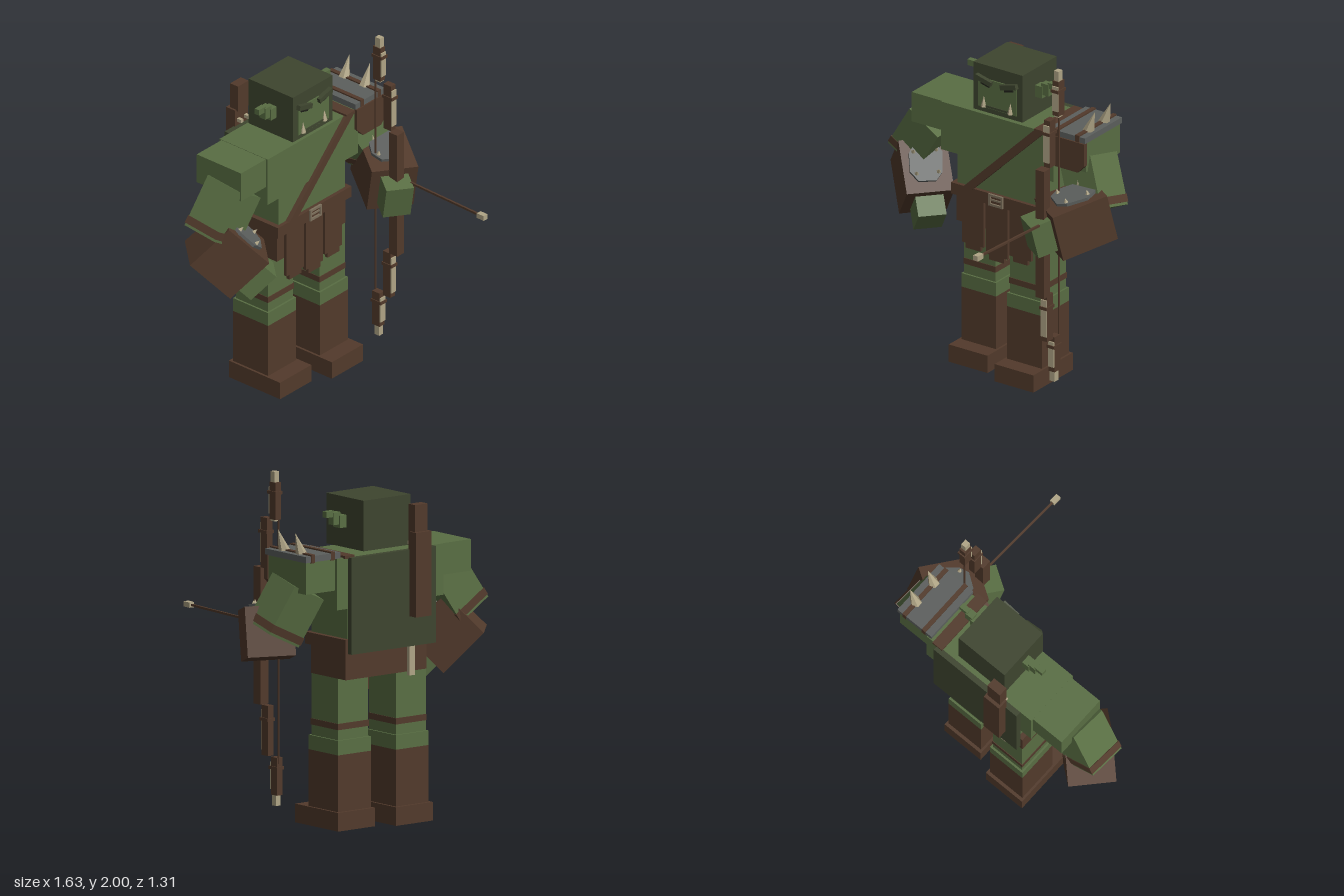
import * as THREE from 'three';

const mat = (name, color) => {
  const m = new THREE.MeshStandardMaterial({ color });
  m.name = name;
  return m;
};
const V = (x, y, z) => new THREE.Vector3(x, y, z);

export function createModel() {
  const green = mat('skin green', 0x596e43);
  const dark = mat('dark green', 0x3e452f);
  const brown = mat('leather brown', 0x523a2b);
  const grey = mat('iron grey', 0x5c5f5d);
  const bone = mat('bone', 0xb0a586);
  const brass = mat('dull brass', 0x7d705c);
  const black = mat('eye dark', 0x1f2019);

  const model = new THREE.Group();
  model.name = 'archer';
  const CX = 0.034; // body mirror line

  const add = (parent, name, geo, m) => {
    const mesh = new THREE.Mesh(geo, m);
    mesh.name = name;
    parent.add(mesh);
    return mesh;
  };
  // box given by its limits on each axis
  const box = (name, m, x0, x1, y0, y1, z0, z1, parent = model) => {
    const b = add(parent, name, new THREE.BoxGeometry(x1 - x0, y1 - y0, z1 - z0), m);
    b.position.set((x0 + x1) / 2, (y0 + y1) / 2, (z0 + z1) / 2);
    return b;
  };
  // group whose +z follows "dir" and whose +y is close to "up"
  const frame = (name, pos, dir, up) => {
    const g = new THREE.Group();
    g.name = name;
    const z = dir.clone().normalize();
    const x = up.clone().cross(z).normalize();
    const y = z.clone().cross(x);
    g.quaternion.setFromRotationMatrix(new THREE.Matrix4().makeBasis(x, y, z));
    g.position.copy(pos);
    model.add(g);
    return g;
  };
  // flat outline in xy, extruded along z
  const plate = (name, m, pts, z, depth, parent = model) => {
    const s = new THREE.Shape(pts.map(p => new THREE.Vector2(p[0], p[1])));
    const p = add(parent, name, new THREE.ExtrudeGeometry(s, { depth, bevelEnabled: false }), m);
    p.position.z = z;
    return p;
  };
  const spike = (name, r, h, parent, pos) => {
    const geo = new THREE.ConeGeometry(r, h, 6).toNonIndexed();
    geo.computeVertexNormals();
    const s = add(parent, name, geo, bone);
    s.position.copy(pos);
    return s;
  };

  // head and face
  box('head', dark, -0.133, 0.202, 1.57, 1.855, -0.54, -0.215);
  box('face', green, -0.095, 0.165, 1.6, 1.775, -0.216, -0.208);
  box('mouth', dark, -0.06, 0.13, 1.605, 1.617, -0.209, -0.203);
  for (const s of [-1, 1]) {
    const brow = box('brow', dark, -0.055, 0.055, -0.014, 0.014, -0.013, 0.013);
    brow.position.set(CX + s * 0.085, 1.77, -0.2);
    brow.rotation.z = s * 0.25;
    const eye = box('eye', black, -0.03, 0.03, -0.008, 0.008, -0.003, 0.003);
    eye.position.set(CX + s * 0.08, 1.743, -0.205);
    eye.rotation.z = s * 0.25;
    spike('tusk', 0.018, 0.065, model, V(CX + s * 0.09, 1.637, -0.207));
    // stepped ears
    [[0.155, 0.215, 1.685, 1.755, 0.028], [0.205, 0.255, 1.705, 1.775, 0.022], [0.245, 0.302, 1.75, 1.785, 0.016]]
      .forEach(([a, b, y0, y1, d]) => {
        const x0 = CX + (s > 0 ? a : -b);
        box('ear', green, x0, x0 + b - a, y0, y1, -0.362 - d, -0.362 + d);
      });
  }

  // torso
  box('chest', green, -0.35, 0.415, 1.265, 1.555, -0.565, -0.212);
  box('waist', green, -0.246, 0.316, 1.07, 1.27, -0.54, -0.222);
  box('belt', brown, -0.276, 0.345, 1.02, 1.088, -0.555, -0.2);
  box('hips', brown, -0.256, 0.322, 0.855, 1.025, -0.53, -0.225);

  // belt buckle
  const ring = new THREE.Shape([[-0.048, -0.035], [0.048, -0.035], [0.048, 0.035], [-0.048, 0.035]].map(p => new THREE.Vector2(...p)));
  ring.holes.push(new THREE.Path([[-0.035, -0.022], [-0.035, 0.022], [0.035, 0.022], [0.035, -0.022]].map(p => new THREE.Vector2(...p))));
  add(model, 'buckle', new THREE.ExtrudeGeometry(ring, { depth: 0.012, bevelEnabled: false }), brass).position.set(CX, 1.055, -0.201);
  box('buckle bar', brass, CX - 0.036, CX + 0.036, 1.05, 1.06, -0.201, -0.193);

  // loincloth panels
  for (const [x, y0, y1] of [[-0.127, 0.715, 1.02], [CX, 0.685, 1.02], [0.195, 0.715, 1.02]]) {
    plate('loincloth panel', brown, [[x - 0.073, y1], [x - 0.073, y0 + 0.03], [x - 0.05, y0 + 0.03], [x - 0.05, y0],
      [x + 0.05, y0], [x + 0.05, y0 + 0.03], [x + 0.073, y0 + 0.03], [x + 0.073, y1]], -0.222, 0.02);
  }

  // chest strap
  plate('chest strap', brown, [[-0.19, 1.085], [-0.125, 1.085], [0.365, 1.557], [0.295, 1.557]], -0.222, 0.03);
  box('shoulder strap', brown, 0.295, 0.365, 1.55, 1.567, -0.575, -0.192);

  // back gear
  box('back board', dark, -0.27, 0.335, 1.01, 1.555, -0.598, -0.565);
  box('sheath', brown, -0.192, -0.08, 1.18, 1.657, -0.655, -0.59);
  box('sheath top', brown, -0.18, -0.09, 1.65, 1.81, -0.635, -0.578);
  for (const x of [-0.165, -0.105]) box('sheath loop', bone, x - 0.01, x + 0.01, 1.58, 1.6, -0.6, -0.56);
  box('blade tip', bone, -0.155, -0.118, 0.835, 1.05, -0.553, -0.53);

  // legs, the left one a little ahead of the right
  for (const s of [-1, 1]) {
    const x = CX + s * 0.18;
    const z = s > 0 ? -0.345 : -0.412;
    box('thigh', green, x - 0.107, x + 0.107, 0.5, 0.86, z - 0.117, z + 0.117);
    box('thigh strap', brown, x - 0.11, x + 0.11, 0.565, 0.6, z - 0.121, z + 0.121);
    box('knee', green, x - 0.118, x + 0.118, 0.425, 0.507, z - 0.129, z + 0.129);
    box('boot', brown, x - 0.118, x + 0.118, 0.1, 0.425, z - 0.129, z + 0.129);
    box('foot', brown, x - 0.132, x + 0.132, 0, 0.105, z - 0.148, z + 0.229);
  }

  // arms, each with shoulder, upper arm, gauntlet and hand
  const arms = [
    { side: 'right', x0: -0.56, x1: -0.34, top: V(-0.478, 1.39, -0.345), elbow: V(-0.645, 1.13, -0.372),
      c: V(-0.56, 1.01, -0.328), dir: V(0.165, -0.227, 0.15), up: V(0.16, 0.217, 0.15), h: 0.305, l: 0.32 },
    { side: 'left', x0: 0.4, x1: 0.625, top: V(0.535, 1.39, -0.375), elbow: V(0.66, 1.125, -0.305),
      c: V(0.595, 1.105, -0.175), dir: V(-0.176, -0.08, 0.273), up: V(-0.03, 0.28, 0.065), h: 0.285, l: 0.335 },
  ];
  for (const a of arms) {
    box(a.side + ' shoulder', green, a.x0, a.x1, 1.375, 1.553, -0.55, -0.225);
    const axis = a.elbow.clone().sub(a.top);
    const len = axis.length();
    const arm = frame(a.side + ' arm', a.top, axis, V(0, 0, 1));
    box('upper arm', green, -0.115, 0.115, -0.115, 0.115, 0, len, arm);
    box('arm strap', brown, -0.119, 0.119, -0.119, 0.119, len - 0.06, len - 0.015, arm);

    const g = frame(a.side + ' forearm', a.c, a.dir, a.up);
    box('gauntlet', brown, -0.135, 0.135, -a.h / 2, a.h / 2, -a.l / 2, a.l / 2, g);
    box('hand', green, -0.08, 0.08, -0.1, 0.1, a.l / 2 - 0.02, a.l / 2 + 0.12, g);
    // iron plate with bone studs
    const iron = plate('gauntlet plate', grey, [[-0.1, -0.05], [-0.06, -0.11], [0.04, -0.115], [0.08, -0.07],
      [0.1, 0.05], [0.055, 0.12], [-0.05, 0.115], [-0.09, 0.06]], 0, 0.018, g);
    iron.rotation.x = -Math.PI / 2;
    iron.position.set(0, a.h / 2, -0.015);
    for (const [x, z] of [[-0.065, -0.08], [0.065, -0.08], [0.06, 0.05], [-0.065, 0.05]])
      spike('stud', 0.014, 0.03, g, V(x, a.h / 2 + 0.03, z));
  }

  // left shoulder pad
  plate('shoulder guard', brown, [[0.385, 1.557], [0.385, 1.43], [0.44, 1.375], [0.59, 1.375], [0.633, 1.42], [0.633, 1.557]], -0.226, 0.03);
  box('shoulder plate', grey, 0.385, 0.633, 1.555, 1.59, -0.56, -0.205);
  for (const x of [0.44, 0.582]) box('plate strap', brown, x - 0.013, x + 0.013, 1.55, 1.598, -0.563, -0.202);
  for (const z of [-0.46, -0.31])
    spike('shoulder spike', 0.034, 0.135, model, V(0.605, 1.648, z)).rotation.z = -0.33;

  // bow: stepped limbs, each with a bone inlay and bands
  const bow = new THREE.Group();
  bow.name = 'bow';
  model.add(bow);
  const bowX = y => 0.482 + (y - 0.11) * 0.0125;
  const limb = (name, m, y0, y1, z, w, d) => {
    const x = bowX((y0 + y1) / 2);
    return box(name, m, x - w / 2, x + w / 2, y0, y1, z - d / 2, z + d / 2, bow);
  };
  limb('bow grip', brown, 0.67, 1.445, 0.002, 0.058, 0.06);
  limb('bow tip', bone, 1.72, 2.0, -0.132, 0.032, 0.036);
  limb('bow tip', bone, 0.112, 0.36, -0.12, 0.034, 0.036);
  for (const [y0, y1, z] of [[1.445, 1.73, -0.055], [1.73, 1.94, -0.135], [0.385, 0.668, -0.048], [0.172, 0.385, -0.124]]) {
    limb('bow limb', brown, y0, y1, z, 0.04, 0.054);
    limb('bow inlay', bone, y0 + 0.03, y1 - 0.03, z + 0.03, 0.039, 0.009);
    const mid = y0 + (y1 - y0) * 0.72;
    limb('bow band', brown, mid - 0.009, mid + 0.009, z + 0.003, 0.052, 0.074);
  }
  limb('bow string', brown, 0.35, 1.74, -0.152, 0.008, 0.008);

  // arrow
  const tail = V(0.535, 1.135, -0.15), tip = V(0.5, 1.142, 0.61);
  const arrow = frame('arrow', tail, tip.clone().sub(tail), V(0, 1, 0));
  const n = tip.distanceTo(tail);
  box('arrow shaft', brown, -0.006, 0.006, -0.006, 0.006, 0, n, arrow);
  box('arrow head', bone, -0.016, 0.016, -0.015, 0.015, n - 0.01, n + 0.042, arrow);

  return model;
}
